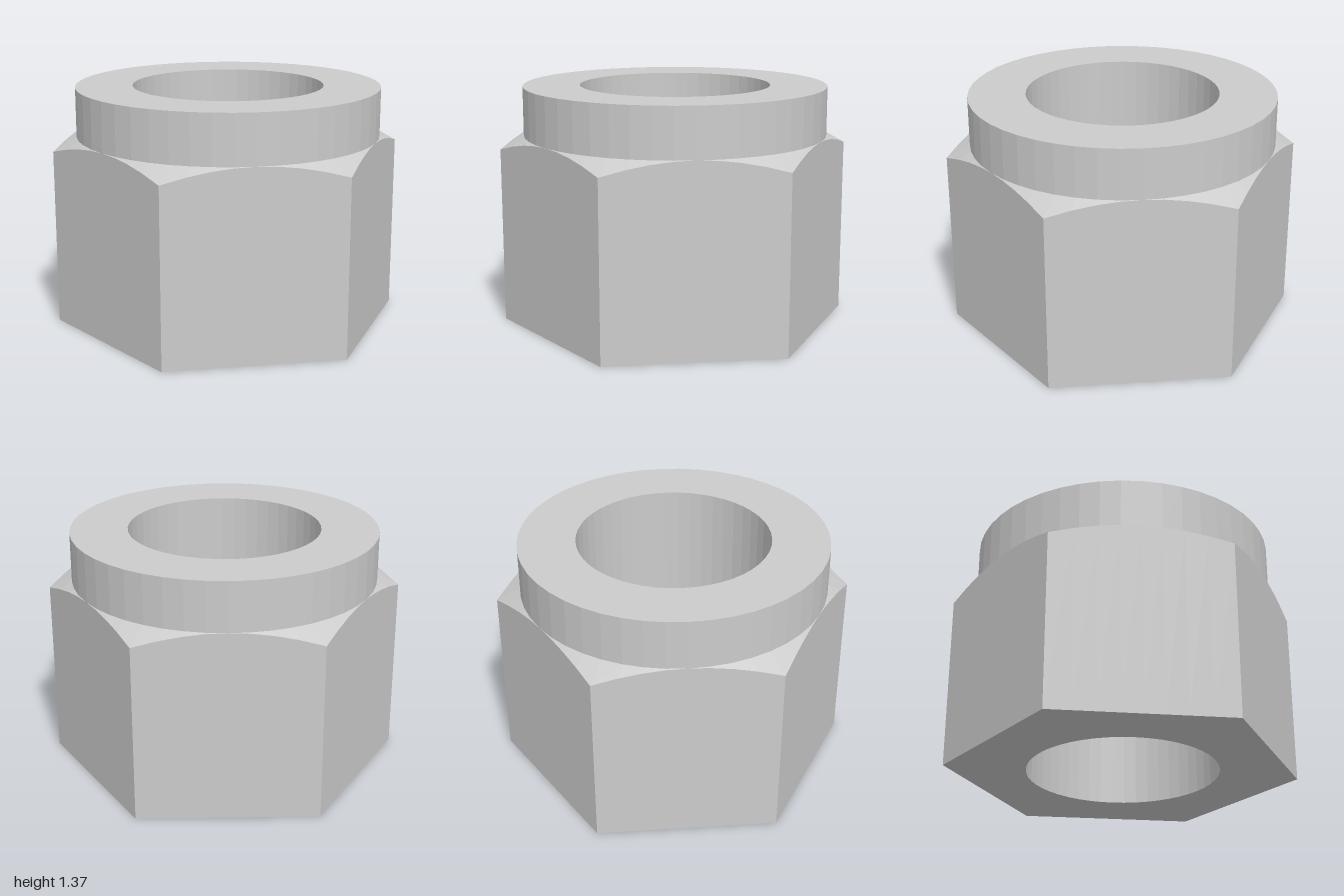
import * as THREE from 'three';

const STEPS = 48;
const APOTHEM = 0.866, BORE = 0.543;
const SHOULDER = 1.085, TOP = 1.365;

// Radius of a hexagon with corners on +z and -z
const hexRadius = (t) => {
  const a = t % (Math.PI / 3);
  return APOTHEM / Math.cos(a - Math.PI / 6);
};
const circle = (r, y) => () => [r, y];

// Cross-sections: each gives [radius, height] for an angle
const boreBottom = circle(BORE, 0);
const hexBottom = (t) => [hexRadius(t), 0];
const hexTop = (t) => {
  const r = hexRadius(t);
  return [r, SHOULDER - (r - APOTHEM) * Math.tan(Math.PI / 6)];
};
const collarBottom = circle(APOTHEM, SHOULDER);
const collarTop = circle(APOTHEM, TOP);
const boreTop = circle(BORE, TOP);

// Joins successive cross-sections with a strip of quads
function loft(name, material, sections) {
  const pos = [], index = [];
  for (const section of sections) {
    for (let i = 0; i < STEPS; i++) {
      const t = (i / STEPS) * Math.PI * 2;
      const [r, y] = section(t);
      pos.push(r * Math.sin(t), y, r * Math.cos(t));
    }
  }
  for (let s = 0; s < sections.length - 1; s++) {
    for (let i = 0; i < STEPS; i++) {
      const j = (i + 1) % STEPS;
      const a = s * STEPS + i, b = s * STEPS + j;
      index.push(a, b, b + STEPS, a, b + STEPS, a + STEPS);
    }
  }
  const geometry = new THREE.BufferGeometry();
  geometry.setAttribute('position', new THREE.Float32BufferAttribute(pos, 3));
  geometry.setIndex(index);
  const flat = geometry.toNonIndexed();
  flat.computeVertexNormals();
  const mesh = new THREE.Mesh(flat, material);
  mesh.name = name;
  return mesh;
}

export function createModel() {
  const group = new THREE.Group();
  group.name = 'collarNut';
  const material = new THREE.MeshStandardMaterial({ color: 0xcccccc, flatShading: true });

  group.add(
    // Underside and six flats
    loft('hexBody', material, [boreBottom, hexBottom, hexTop]),
    // Conical corners below the collar
    loft('chamfer', material, [hexTop, collarBottom]),
    // Round collar and its top ring
    loft('collar', material, [collarBottom, collarTop, boreTop]),
    // Through hole
    loft('bore', material, [boreTop, boreBottom]),
  );
  return group;
}
